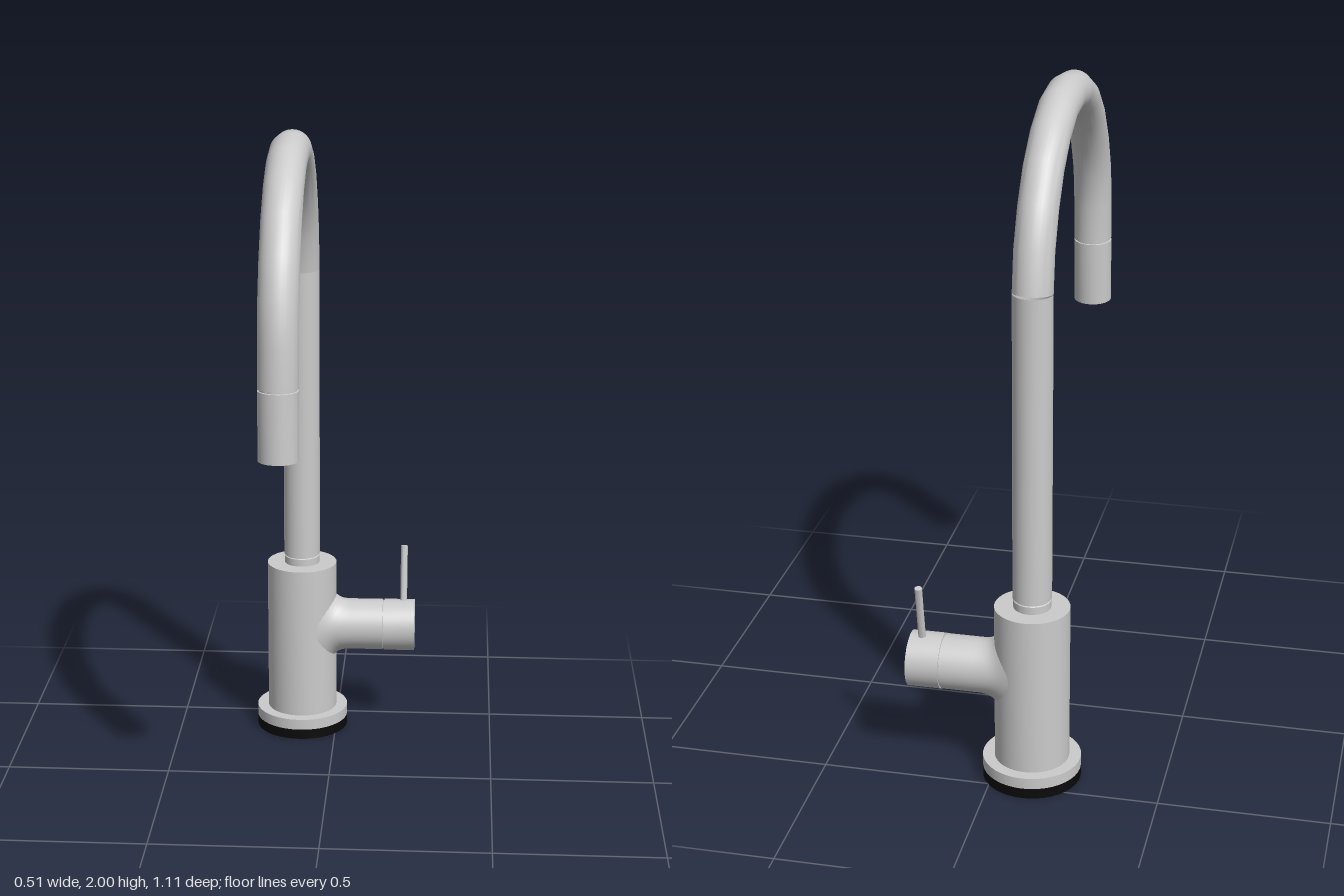
import * as THREE from 'three';
import { toCreasedNormals } from 'three/addons/utils/BufferGeometryUtils.js';

const grey = new THREE.MeshStandardMaterial({ color: 0xcccccc, side: THREE.DoubleSide });
const black = new THREE.MeshStandardMaterial({ color: 0x0a0a0a, side: THREE.DoubleSide });
const BODY_R = 0.11, TUBE_R = 0.057;

const turned = (profile, sides = 40) =>
  new THREE.LatheGeometry(profile.map(([r, y]) => new THREE.Vector2(r, y)), sides);

function part(name, geometry, material = grey) {
  const mesh = new THREE.Mesh(toCreasedNormals(geometry, 0.6), material);
  mesh.name = name;
  return mesh;
}

export function createModel() {
  const model = new THREE.Group();
  model.name = 'faucet';
  // everything is built around the column axis, then shifted
  model.position.set(0, 0, 0);
  const faucet = new THREE.Group();
  faucet.name = 'faucetBody';
  faucet.position.set(-0.11, 0, -0.41);
  model.add(faucet);

  // hollow base: black gasket walls, pale underside, flange
  faucet.add(part('gasketOuter', turned([[0.145, 0], [0.145, 0.032]]), black));
  faucet.add(part('gasketInner', turned([[0.125, 0.032], [0.125, 0]]), black));
  faucet.add(part('gasketUnderside', turned([[0.125, 0], [0.145, 0]])));
  faucet.add(part('baseFlange', turned([
    [0.1, 0.032], [0.145, 0.032], [0.145, 0.066], [BODY_R, 0.066]])));

  // column, open from below
  faucet.add(part('column', turned([
    [0, 0.5], [0.1, 0.5], [0.1, 0.032], [BODY_R, 0.032], [BODY_R, 0.555], [0, 0.555]])));
  faucet.add(part('spoutCollar', turned([
    [0.055, 0.55], [0.055, 0.578], [0.052, 0.58], [0.052, 0.588]], 32)));

  // gooseneck: straight riser, then the arch, as [z, y] relative to the axis
  faucet.add(part('riser', new THREE.CylinderGeometry(TUBE_R, TUBE_R, 0.925, 32, 1, true)
    .translate(0, 1.0475, 0)));
  const arch = [[0, 1.51], [0.012, 1.6], [0.05, 1.695], [0.115, 1.793], [0.2, 1.868],
    [0.31, 1.925], [0.43, 1.943], [0.555, 1.93], [0.665, 1.882], [0.755, 1.81],
    [0.825, 1.715], [0.873, 1.615], [0.893, 1.5], [0.9, 1.373]];
  const path = new THREE.CatmullRomCurve3(arch.map(([z, y]) => new THREE.Vector3(0, y, z)));
  faucet.add(part('arch', new THREE.TubeGeometry(path, 13, TUBE_R, 32)));

  // spray head with a recessed outlet and a fine joint above it
  const head = part('sprayHead', turned([
    [0, 0.02], [0.028, 0.02], [0.028, 0], [TUBE_R, 0], [TUBE_R, 0.197],
    [0.053, 0.198], [0.053, 0.206]], 32));
  head.position.set(0, 1.17, 0.91);
  head.rotation.x = -0.04;
  faucet.add(head);

  // valve barrel: its flared root follows the round column
  const barrel = turned([[0.102, -0.004], [0.095, 0.003], [0.089, 0.011], [0.084, 0.022],
    [0.081, 0.04], [0.081, 0.16], [0.081, 0.26], [0.077, 0.261], [0.077, 0.27]], 48);
  barrel.rotateZ(-Math.PI / 2);
  const pos = barrel.attributes.position;
  for (let i = 0; i < pos.count; i++) {
    if (pos.getX(i) < 0.05) {
      pos.setX(i, pos.getX(i) + Math.sqrt(BODY_R ** 2 - pos.getZ(i) ** 2));
    }
  }
  const handle = new THREE.Group();
  handle.name = 'handle';
  handle.position.y = 0.345;
  handle.add(part('valveBarrel', barrel));
  handle.add(part('handleCap', turned([
    [0.07, 0.264], [0.082, 0.264], [0.082, 0.362], [0, 0.362]], 48).rotateZ(-Math.PI / 2)));

  // thin lever leaning backwards
  const lever = part('lever', new THREE.CylinderGeometry(0.011, 0.011, 0.2, 16)
    .translate(0, 0.1, 0));
  lever.position.set(0.326, 0.057, -0.006);
  lever.rotation.x = -0.19;
  handle.add(lever);
  faucet.add(handle);

  return model;
}
